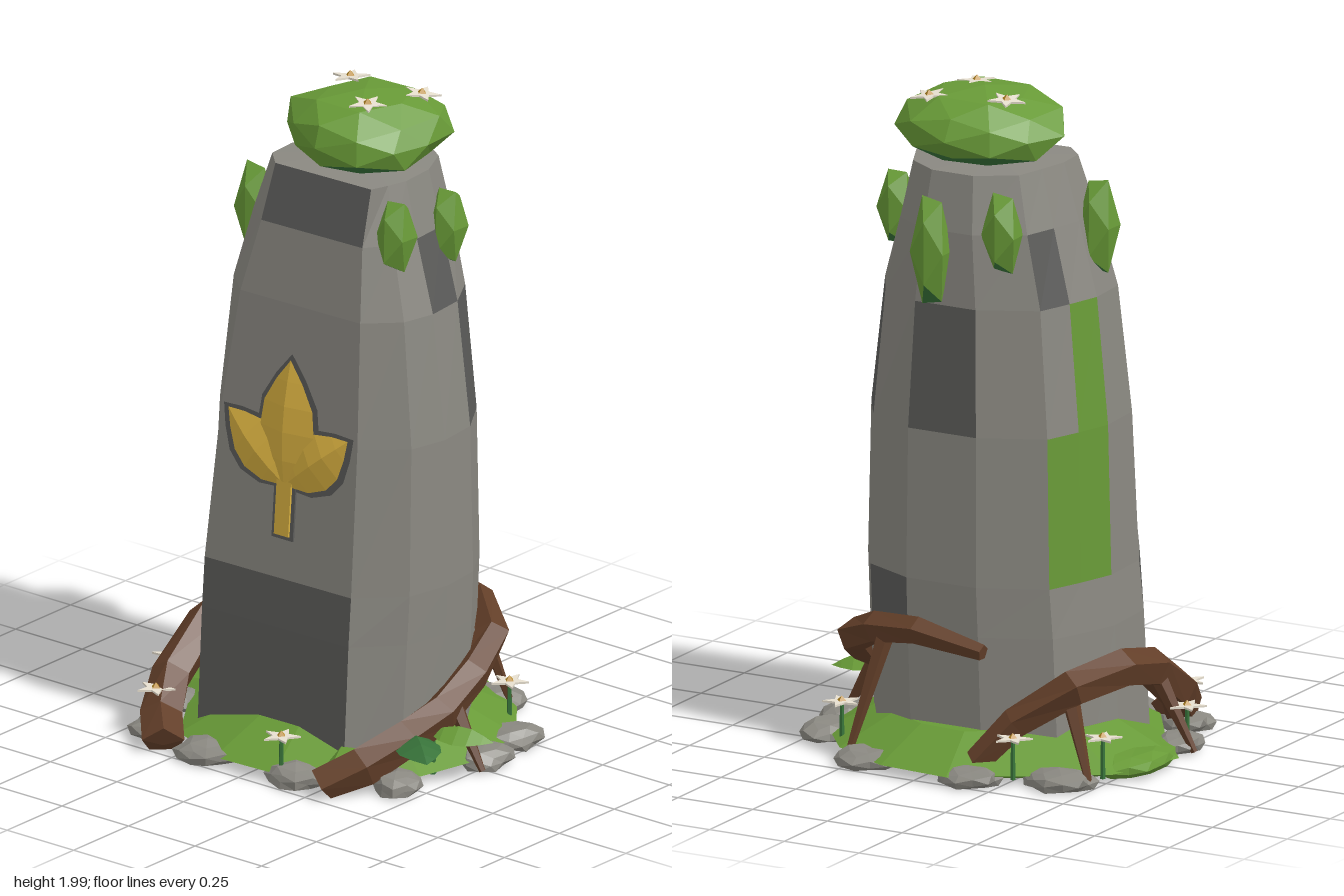
import * as THREE from 'three';

const mat = (name, color) => {
  const m = new THREE.MeshStandardMaterial({ color, flatShading: true, side: THREE.DoubleSide });
  m.name = name;
  return m;
};

export function createModel() {
  const stone = mat('stone', 0x8a8881), darkStone = mat('dark stone', 0x5b5b59);
  const moss = mat('moss', 0x689a37), deepGreen = mat('deep green', 0x38733a);
  const bark = mat('bark', 0x633f29), gold = mat('gold', 0xd8b040);
  const petalWhite = mat('petal white', 0xe8e0d0), pollen = mat('pollen', 0xb98a24);
  const model = new THREE.Group();
  model.name = 'mossyMonolith';

  const add = (parent, name, geometry, material, pos = [0, 0, 0]) => {
    const m = new THREE.Mesh(geometry, material);
    m.name = name;
    m.position.set(...pos);
    parent.add(m);
    return m;
  };
  const subgroup = (parent, name, pos) => {
    const g = new THREE.Group();
    g.name = name;
    g.position.set(...pos);
    parent.add(g);
    return g;
  };

  // Skin stacked rings of points; pick(level, side) chooses a material slot
  function loft(rings, pick = () => 0) {
    const pts = [], geo = new THREE.BufferGeometry(), n = rings[0].length;
    for (let j = 0; j < rings.length - 1; j++) {
      for (let i = 0; i < n; i++) {
        const k = (i + 1) % n;
        const [a, b, c, d] = [rings[j][i], rings[j][k], rings[j + 1][k], rings[j + 1][i]];
        geo.addGroup(pts.length / 3, 6, pick(j, i));
        pts.push(...a, ...b, ...c, ...a, ...c, ...d);
      }
    }
    geo.setAttribute('position', new THREE.Float32BufferAttribute(pts, 3));
    geo.computeVertexNormals();
    return geo;
  }

  // Rough faceted lump kept above a floor; a pair of materials colours the top and the underside
  function lump(name, material, pos, size, detail, floor, seed, rough = 0.2) {
    const geo = new THREE.IcosahedronGeometry(1, detail), p = geo.attributes.position;
    for (let i = 0; i < p.count; i += 3) {
      const middle = (p.getY(i) + p.getY(i + 1) + p.getY(i + 2)) / 3;
      if (Array.isArray(material)) geo.addGroup(i, 3, middle < -0.5 ? 1 : 0);
    }
    for (let i = 0; i < p.count; i++) {
      const [x, y, z] = [p.getX(i), p.getY(i), p.getZ(i)];
      const s = Math.sin(Math.round(x * 50) * 1.3 + Math.round(y * 50) * 2.7 + Math.round(z * 50) * 3.9 + seed * 7.1);
      const f = 1 + rough * 0.5 * s;
      p.setXYZ(i, x * f * size[0], Math.max(y * f * size[1], floor - pos[1]), z * f * size[2]);
    }
    geo.computeVertexNormals();
    return add(model, name, geo, material, pos);
  }

  // Pointed leaf growing along +y with a raised midrib
  function leaf(len, half, ridge) {
    const prof = [[0, 0.2], [0.18, 0.72], [0.42, 1], [0.63, 0.9], [0.83, 0.48], [1, 0]];
    const pts = [];
    for (let i = 0; i < prof.length - 1; i++) {
      const [[t, w], [u, v]] = [prof[i], prof[i + 1]];
      const c0 = [0, t * len, ridge * w], c1 = [0, u * len, ridge * v];
      const l0 = [-w * half, t * len, 0], l1 = [-v * half, u * len, 0];
      const r0 = [w * half, t * len, 0], r1 = [v * half, u * len, 0];
      pts.push(...l0, ...c0, ...c1, ...l0, ...c1, ...l1, ...c0, ...r0, ...r1, ...c0, ...r1, ...c1);
    }
    const geo = new THREE.BufferGeometry();
    geo.setAttribute('position', new THREE.Float32BufferAttribute(pts, 3));
    geo.computeVertexNormals();
    return geo;
  }

  // Mossy ground mound
  const radii = [0.5, 0.5, 0.5, 0.51, 0.53, 0.5, 0.58, 0.6, 0.48, 0.5, 0.49, 0.48, 0.47, 0.5];
  const moundRing = ([s, y]) => radii.map((r, i) => {
    const a = (i / radii.length) * Math.PI * 2;
    return [Math.cos(a) * r * s, y, -Math.sin(a) * r * s];
  });
  add(model, 'mossMound', loft([[0, 0], [0.82, 0], [1, 0.03], [0.66, 0.12], [0, 0.13]].map(moundRing)), moss);
  lump('mossClump', moss, [-0.5, 0.03, -0.08], [0.1, 0.04, 0.16], 1, 0, 2);
  lump('mossClump', moss, [0.28, 0.05, 0.32], [0.08, 0.06, 0.1], 0, 0, 3);

  // Stone pillar: y, left, right, front, back, front-left corner, front-right corner
  const levels = [
    [0, -0.4, 0.37, 0.325, -0.3, -0.3, 0.24],
    [0.4, -0.385, 0.385, 0.302, -0.315, -0.3, 0.24],
    [0.55, -0.373, 0.39, 0.29, -0.32, -0.3, 0.24],
    [1.0, -0.362, 0.38, 0.255, -0.315, -0.27, 0.235],
    [1.38, -0.325, 0.335, 0.224, -0.3, -0.22, 0.22],
    [1.6, -0.265, 0.275, 0.19, -0.29, -0.17, 0.2],
    [1.77, -0.215, 0.235, 0.15, -0.26, -0.15, 0.2],
  ];
  const rings = levels.map(([y, l, r, f, b, fl, fr]) => [
    [fl, f], [fr, f - 0.012], [r * 0.93, f * 0.55], [r, 0.02], [r * 0.96, b * 0.36], [r * 0.75, b * 0.76],
    [r * 0.33, b], [l * 0.28, b], [l * 0.8, b * 0.72], [l * 0.91, b * 0.36], [l, 0], [l * 0.97, f * 0.62],
  ].map(([x, z]) => [x, y, z]));
  rings.push(rings[6].map(() => [0, 1.78, -0.05]));
  const dark = new Set(['0,0', '1,0', '0,11', '1,11', '5,0', '3,4', '4,3', '3,6', '1,5', '4,8']);
  const mossy = new Set(['2,8', '2,9', '3,9']);
  const pick = (j, i) => (dark.has(`${j},${i}`) ? 1 : mossy.has(`${j},${i}`) ? 2 : 0);
  add(model, 'pillar', loft(rings, pick), [stone, darkStone, moss]);

  // Three-leaf emblem with dark border, leaning with the front face
  const emblem = subgroup(model, 'emblem', [-0.01, 0.95, 0.263]);
  emblem.rotation.x = -0.08;
  for (const [y, turn, len, half] of [[-0.1, 0.88, 0.275, 0.082], [-0.1, -0.88, 0.275, 0.082], [-0.1, 0, 0.37, 0.1]]) {
    const x = -0.012 * Math.sign(turn);
    const front = turn === 0 ? 0.003 : 0;
    const border = add(emblem, 'emblemBorder', leaf(len + 0.025, half + 0.015, 0), darkStone, [x, y - 0.007, 0.002]);
    const blade = add(emblem, 'emblemLeaf', leaf(len, half, 0.022), gold, [x, y, 0.005 + front]);
    border.rotation.z = blade.rotation.z = turn;
  }
  add(emblem, 'emblemStemBorder', new THREE.BoxGeometry(0.08, 0.2, 0.006), darkStone, [0, -0.175, 0.001]);
  add(emblem, 'emblemStem', new THREE.BoxGeometry(0.054, 0.2, 0.009), gold, [0, -0.163, 0.006]);

  // Moss cap and hanging moss tufts, darker underneath
  lump('mossCap', [moss, deepGreen], [0.02, 1.865, -0.052], [0.25, 0.118, 0.235], 1, 1.765, 4, 0.14);
  for (const [x, y, z, h] of [[-0.288, 1.575, 0.07, 0.135], [0.262, 1.63, 0.1, 0.11], [0.27, 1.6, -0.125, 0.115],
    [0.05, 1.54, -0.305, 0.16], [-0.15, 1.6, -0.24, 0.12]]) {
    lump('mossTuft', [moss, deepGreen], [x, y, z], [0.062, h * 1.15, 0.062], 0, 0, x * 9, 0.12);
  }

  // Roots: straight-sided runs of five-sided rings; each point is x, y, z, radius
  function root(name, points) {
    const centres = points.map((p) => new THREE.Vector3(p[0], p[1], p[2]));
    const body = centres.map((c, j) => {
      const t = centres[Math.min(j + 1, centres.length - 1)].clone().sub(centres[Math.max(j - 1, 0)]).normalize();
      const side = new THREE.Vector3(0, 1, 0).cross(t).normalize(), up = t.clone().cross(side);
      return Array.from({ length: 5 }, (_, s) => {
        const a = (s / 5) * Math.PI * 2 + 0.3, r = points[j][3];
        const v = c.clone().addScaledVector(side, Math.cos(a) * r).addScaledVector(up, Math.sin(a) * r);
        return [v.x, Math.max(v.y, 0), v.z];
      });
    });
    const cap = (c) => body[0].map(() => c.toArray());
    add(model, name, loft([cap(centres[0]), ...body, cap(centres.at(-1))]), bark);
  }
  root('leftRoot', [[-0.14, 0.04, -0.395, 0.04], [-0.25, 0.17, -0.34, 0.048], [-0.4, 0.28, -0.275, 0.055],
    [-0.45, 0.3, -0.08, 0.058], [-0.45, 0.26, 0.1, 0.058], [-0.43, 0.15, 0.28, 0.062], [-0.38, 0.065, 0.39, 0.065], [-0.3, 0.02, 0.48, 0.065]]);
  root('rightRoot', [[0.27, 0.02, 0.45, 0.062], [0.35, 0.08, 0.36, 0.062], [0.4, 0.14, 0.22, 0.058], [0.415, 0.18, 0.08, 0.055],
    [0.4, 0.25, -0.08, 0.054], [0.36, 0.32, -0.22, 0.052], [0.24, 0.38, -0.3, 0.048], [0.08, 0.4, -0.335, 0.042], [-0.14, 0.365, -0.34, 0.025]]);
  for (const [from, to] of [[[-0.45, 0.26, 0.11], [-0.57, 0.01, 0.14]], [[-0.39, 0.25, -0.27], [-0.49, 0.01, -0.33]],
    [[0.42, 0.2, 0.03], [0.53, 0.01, 0.03]], [[0.2, 0.38, -0.31], [0.27, 0.01, -0.42]]]) {
    root('rootProng', [[...from, 0.028], [...to, 0.01]]);
  }

  // Ring of flat stones: x, z, half width, half depth
  [[-0.4, -0.35, 0.11, 0.09], [-0.155, -0.45, 0.1, 0.075], [0.2, -0.43, 0.1, 0.075], [0.44, -0.22, 0.08, 0.09],
    [0.48, -0.04, 0.075, 0.09], [0.42, 0.29, 0.075, 0.075], [0.15, 0.42, 0.1, 0.08], [-0.17, 0.435, 0.1, 0.085],
    [-0.4, 0.38, 0.085, 0.075], [-0.5, 0.17, 0.07, 0.08]].forEach(([x, z, w, d], i) => {
    lump('baseStone', stone, [x, 0.02, z], [w, 0.038, d], 1, 0, i, 0.25);
  });

  // Star flowers, on stems where they grow from the ground
  const star = new THREE.Shape(Array.from({ length: 10 }, (_, i) => {
    const a = (i / 10) * Math.PI * 2, r = i % 2 ? 0.025 : 0.058;
    return new THREE.Vector2(Math.cos(a) * r, Math.sin(a) * r);
  }));
  const petals = new THREE.ExtrudeGeometry(star, { depth: 0.006, bevelEnabled: false });
  function flower(x, y, z, stem) {
    const g = subgroup(model, 'flower', [x, y, z]);
    add(g, 'petals', petals, petalWhite).rotation.set(-Math.PI / 2, x * 5, 0, 'YXZ');
    add(g, 'flowerCentre', new THREE.ConeGeometry(0.016, 0.016, 4), pollen, [0, 0.013, 0]);
    if (stem) add(g, 'stem', new THREE.CylinderGeometry(0.006, 0.008, y - 0.02, 5), deepGreen, [0, (0.02 - y) / 2, 0]);
    else g.rotation.set((z + 0.05) * 0.7, 0, (0.02 - x) * 0.7);
  }
  for (const [x, y, z] of [[-0.095, 1.968, -0.125], [0.14, 1.96, -0.165], [0.085, 1.968, 0.015]]) flower(x, y, z, false);
  for (const [x, z] of [[-0.28, -0.41], [-0.5, -0.27], [0.35, -0.31], [-0.54, 0.15], [-0.405, 0.385], [0.12, 0.45]]) flower(x, 0.14, z, true);

  // Broad leaves beside the root, one light and one dark
  for (const [x, z, dx, dz, len, material] of [[0.43, 0.135, 0.17, -0.07, 0.185, moss], [0.39, 0.19, 0.17, 0.13, 0.215, deepGreen]]) {
    const blade = add(model, 'broadLeaf', leaf(len, 0.068, 0.035), material, [x, 0.135, z]);
    blade.rotation.set(-Math.PI / 2 - 0.05, Math.atan2(-dx, -dz), 0, 'YXZ');
    add(model, 'leafStem', new THREE.CylinderGeometry(0.007, 0.01, 0.13, 5), deepGreen, [x, 0.075, z]);
  }

  return model;
}
